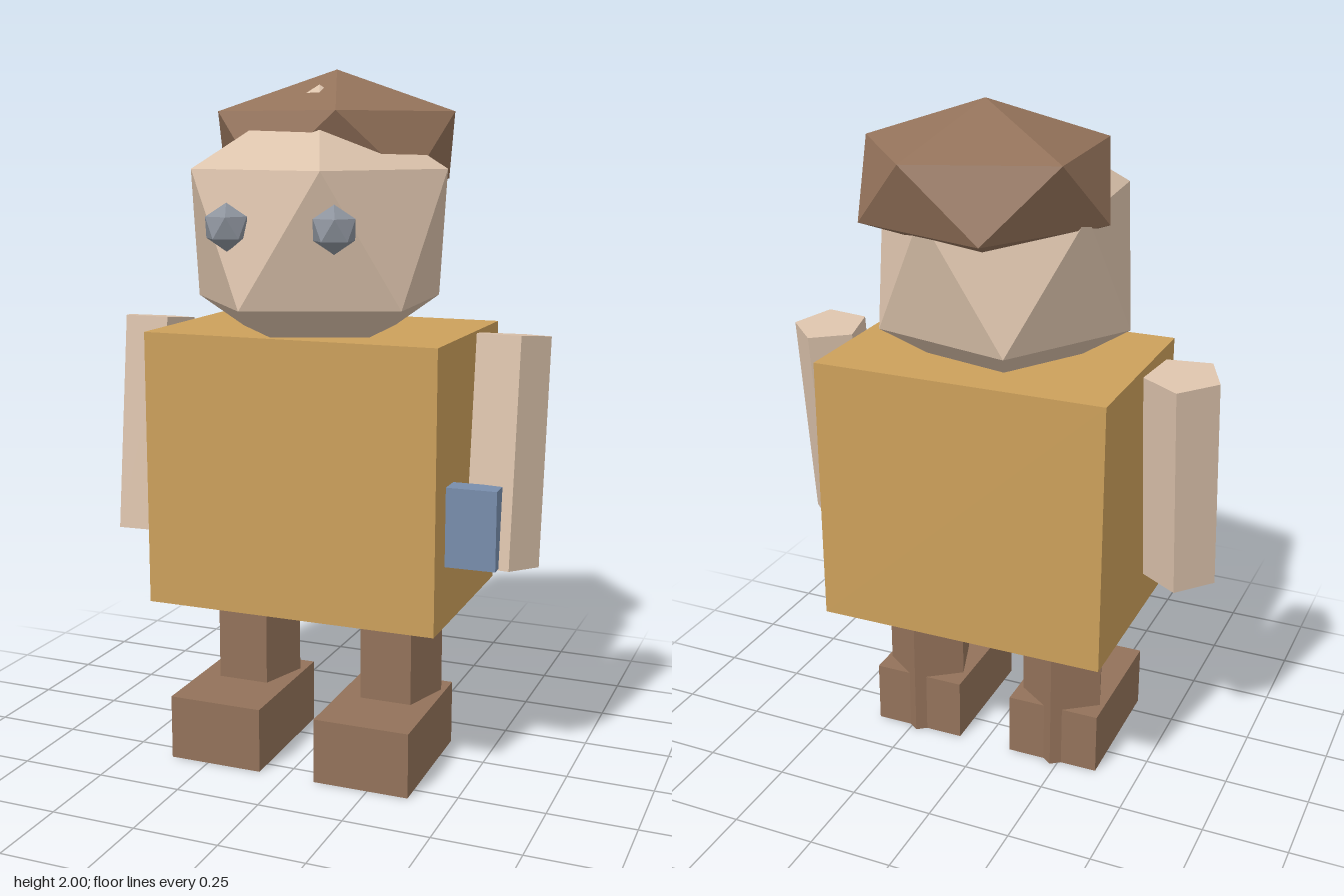
import * as THREE from 'three';

const material = (name, color) => {
  const m = new THREE.MeshStandardMaterial({ color, flatShading: true });
  m.name = name;
  return m;
};

// Icosahedron standing on one vertex, turned by yaw
function uprightIcosahedron(radius, yaw) {
  return new THREE.IcosahedronGeometry(radius, 0)
    .rotateZ(Math.atan(2 / (1 + Math.sqrt(5))))
    .rotateY(Math.PI + yaw);
}

// Five-sided prism with a flat side to the front and an edge to the back
const pentagonPrism = (radius, height) =>
  new THREE.CylinderGeometry(radius, radius, height, 5, 1, false, Math.PI);

export function createModel() {
  const group = new THREE.Group();
  const gold = material('gold', 0xcca05b);
  const skin = material('skin', 0xdbc2ab);
  const brown = material('brown', 0x93725a);
  const grey = material('grey', 0x8c929c);
  const blue = material('blue', 0x788dac);
  const twist = 0.01;

  const add = (name, geometry, mat, x, y, z) => {
    const mesh = new THREE.Mesh(geometry, mat);
    mesh.name = name;
    mesh.position.set(x, y, z);
    group.add(mesh);
    return mesh;
  };

  // Torso
  add('body', new THREE.BoxGeometry(0.867, 0.795, 0.605), gold, 0, 0.8725, 0).rotation.y = twist;

  // Head and flattened hair cap
  add('head', uprightIcosahedron(0.414, 0.08), skin, 0, 1.54, 0.05);
  add('hair', uprightIcosahedron(1, 0.055), brown, -0.003, 1.785, -0.09).scale.set(0.392, 0.215, 0.392);

  // Eyes
  add('rightEye', uprightIcosahedron(0.065, 0.08), grey, -0.133, 1.575, 0.377);
  add('leftEye', uprightIcosahedron(0.065, 0.08), grey, 0.172, 1.575, 0.367);

  for (const [side, s] of [['left', 1], ['right', -1]]) {
    // Leg runs through the foot to the ground
    add(side + 'Leg', pentagonPrism(0.132, 0.5), brown, s * 0.229, 0.25, 0).rotation.y = twist;
    add(side + 'Foot', new THREE.BoxGeometry(0.283, 0.19, 0.42), brown, s * 0.227, 0.095, 0.099).rotation.y = twist;
    // Arm swings slightly forward
    add(side + 'Arm', pentagonPrism(0.111, 0.644), skin, s * 0.553, 0.955, 0.037)
      .rotation.set(-0.115, -s * 0.12, 0);
  }

  // Small block held at the left hand
  add('heldBlock', new THREE.BoxGeometry(0.16, 0.225, 0.07), blue, 0.497, 0.7625, 0.169).rotation.y = 0.03;

  return group;
}
